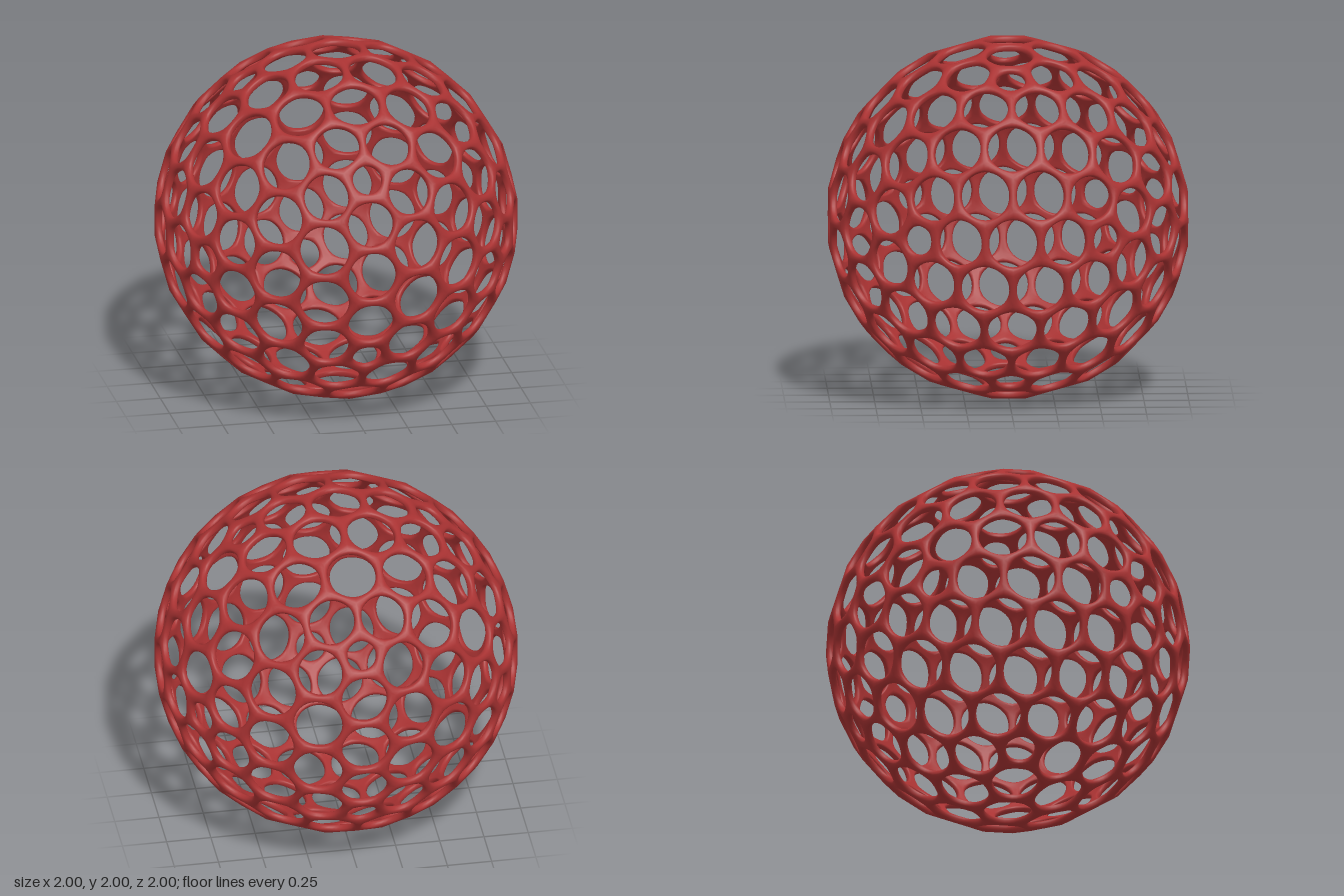
import * as THREE from 'three';
import { mergeVertices } from 'three/addons/utils/BufferGeometryUtils.js';

const FREQ = 4;         // subdivisions of each icosahedron edge
const RADIUS = 1.0153;  // radius of the strut junctions
const THICK = 0.04;     // shell thickness
const EDGE_STEPS = 6;   // samples along each strut
const PROFILE_STEPS = 8; // samples around each half strut
const ROUND = 0.7;      // below 1 squares off the strut section

// One cell per geodesic point: its direction and its ring of junctions, counter-clockwise
function geodesicCells() {
  const pos = new THREE.IcosahedronGeometry(1, FREQ - 1).getAttribute('position');
  const cells = new Map();
  for (let i = 0; i < pos.count; i += 3) {
    const tri = [0, 1, 2].map(k => new THREE.Vector3().fromBufferAttribute(pos, i + k));
    const junction = tri[0].clone().add(tri[1]).add(tri[2]).setLength(RADIUS);
    for (const p of tri) {
      const key = p.toArray().map(c => Math.round(c * 1000) + 0).join();
      if (!cells.has(key)) cells.set(key, { normal: p.clone().normalize(), ring: [] });
      cells.get(key).ring.push(junction);
    }
  }
  for (const { normal, ring } of cells.values()) {
    const u = ring[0].clone().projectOnPlane(normal).normalize();
    const v = normal.clone().cross(u);
    const angle = p => Math.atan2(p.dot(v), p.dot(u));
    ring.sort((a, b) => angle(a) - angle(b));
  }
  return [...cells.values()];
}

// Moves every side of a polygon inward by d
function insetRing(ring, d) {
  const n = ring.length;
  return ring.map((p, i) => {
    const a = ring[(i + n - 1) % n].clone().sub(p).normalize();
    const b = ring[(i + 1) % n].clone().sub(p).normalize();
    const s = d / a.clone().cross(b).length();
    return p.clone().addScaledVector(a, s).addScaledVector(b, s);
  });
}

// Closed cubic B-spline point on segment i, which rounds a polygon into a hole
function splinePoint(ring, i, t) {
  const n = ring.length;
  const weights = [
    (1 - t) ** 3 / 6,
    (3 * t ** 3 - 6 * t ** 2 + 4) / 6,
    (-3 * t ** 3 + 3 * t ** 2 + 3 * t + 1) / 6,
    t ** 3 / 6,
  ];
  const out = new THREE.Vector3();
  weights.forEach((w, k) => out.addScaledVector(ring[(i + k - 1 + n) % n], w));
  return out;
}

// Rounded frame of one cell: outer strut line, round the hole rim, back to the inner strut line
function addCell(ring, positions, indices) {
  const hole = insetRing(ring, ring.length === 5 ? 0.026 : 0.0155);
  const start = positions.length / 3;
  const total = ring.length * EDGE_STEPS;
  const row = PROFILE_STEPS + 1;
  for (let j = 0; j < total; j++) {
    const i = Math.floor(j / EDGE_STEPS);
    const t = (j % EDGE_STEPS) / EDGE_STEPS;
    const border = ring[i].clone().lerp(ring[(i + 1) % ring.length], t);
    const rim = splinePoint(hole, i, t);
    for (let k = 0; k < row; k++) {
      const phi = Math.PI * (0.5 - k / PROFILE_STEPS);
      const across = Math.max(0, Math.cos(phi)) ** ROUND;
      const depth = Math.sign(Math.sin(phi)) * Math.abs(Math.sin(phi)) ** ROUND;
      const p = border.clone().lerp(rim, k % PROFILE_STEPS ? across : 0);
      p.multiplyScalar(1 + (depth - 1) * THICK / 2);
      positions.push(p.x, p.y, p.z);
    }
    for (let k = 0; k < PROFILE_STEPS; k++) {
      const a = start + j * row + k;
      const b = start + ((j + 1) % total) * row + k;
      indices.push(a, b, b + 1, a, b + 1, a + 1);
    }
  }
}

export function createModel() {
  const positions = [], indices = [];
  for (const { ring } of geodesicCells()) addCell(ring, positions, indices);

  let geometry = new THREE.BufferGeometry();
  geometry.setAttribute('position', new THREE.Float32BufferAttribute(positions, 3));
  geometry.setIndex(indices);
  geometry = mergeVertices(geometry, 1e-4); // weld neighbouring cells for smooth normals
  geometry.computeVertexNormals();

  const shell = new THREE.Mesh(geometry, new THREE.MeshStandardMaterial({ color: 0xa83232 }));
  shell.name = 'perforatedShell';
  shell.position.y = 1;

  const group = new THREE.Group();
  group.name = 'perforatedSphere';
  group.add(shell);
  return group;
}
